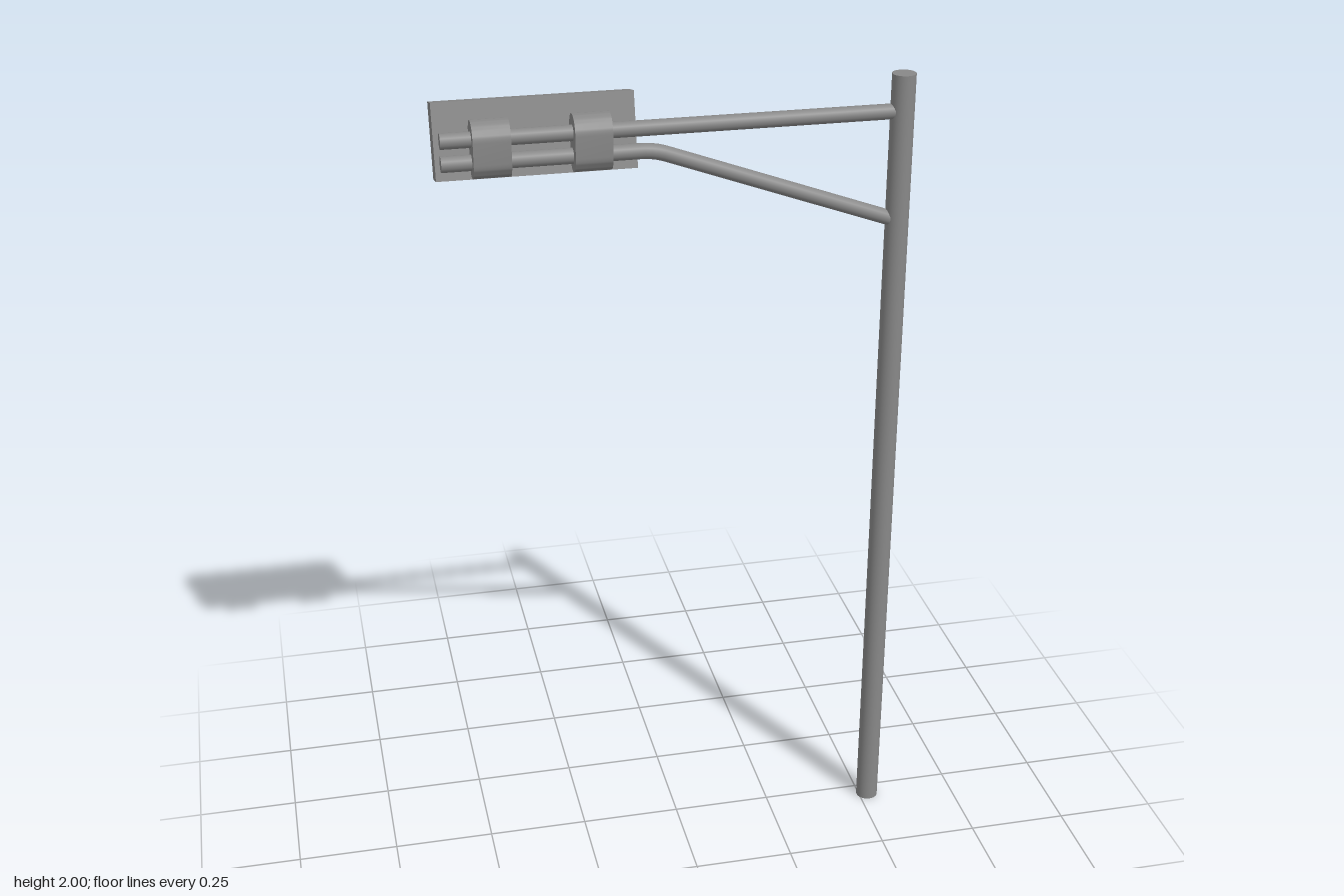
import * as THREE from 'three';
import { toCreasedNormals } from 'three/addons/utils/BufferGeometryUtils.js';

const grey = new THREE.MeshStandardMaterial({ color: 0x888888 });
const POLE_X = 0.522, POLE_Z = 0.037;
const UPPER_Y = 1.912, LOWER_Y = 1.859, ARM_R = 0.018, ARM_END = -0.54;

function add(parent, name, geometry, x, y, z, material = grey) {
  const mesh = new THREE.Mesh(geometry, material);
  mesh.name = name;
  mesh.position.set(x, y, z);
  parent.add(mesh);
  return mesh;
}

// Straight run, soft bend, then a sloping run down to the pole
function lowerArmGeometry() {
  const v = (x, y) => new THREE.Vector3(x, y, 0);
  const a = v(-0.09, LOWER_Y), bend = v(-0.06, LOWER_Y), b = v(-0.032, LOWER_Y - 0.01);
  const path = new THREE.CurvePath();
  path.add(new THREE.LineCurve3(v(ARM_END, LOWER_Y), a));
  path.add(new THREE.QuadraticBezierCurve3(a, bend, b));
  path.add(new THREE.LineCurve3(b, v(POLE_X, 1.648)));
  return new THREE.TubeGeometry(path, 72, ARM_R, 20);
}

// Clamp with a stadium-shaped section that wraps both arms
function clampGeometry(width) {
  const r = 0.041, h = 0.025;
  const shape = new THREE.Shape();
  shape.absarc(0, h, r, 0, Math.PI, false);
  shape.absarc(0, -h, r, Math.PI, Math.PI * 2, false);
  shape.closePath();
  const g = new THREE.ExtrudeGeometry(shape, { depth: width, bevelEnabled: false, curveSegments: 12 });
  g.translate(0, 0, -width / 2);
  g.rotateY(Math.PI / 2);
  return toCreasedNormals(g, 0.7);
}

export function createModel() {
  const model = new THREE.Group();
  model.name = 'trafficLight';

  // Pole
  add(model, 'pole', new THREE.CylinderGeometry(0.028, 0.028, 2, 32), POLE_X, 1, POLE_Z);

  // Arms
  const length = POLE_X - ARM_END;
  const upper = new THREE.CylinderGeometry(ARM_R, ARM_R, length, 20);
  upper.rotateZ(Math.PI / 2);
  add(model, 'upperArm', upper, ARM_END + length / 2, UPPER_Y, POLE_Z);
  add(model, 'lowerArm', lowerArmGeometry(), 0, 0, POLE_Z);
  const cap = add(model, 'lowerArmCap', new THREE.CircleGeometry(ARM_R, 20), ARM_END, LOWER_Y, POLE_Z);
  cap.rotation.y = -Math.PI / 2;

  // Clamps
  const clamp = clampGeometry(0.085);
  for (const x of [-0.429, -0.202]) add(model, 'clamp', clamp, x, 1.889, POLE_Z);

  // Signal head, tilted down towards the road behind
  const head = new THREE.Group();
  head.name = 'signalHead';
  head.position.set(-0.322, 1.892, -0.028);
  head.rotation.x = -0.237;
  model.add(head);
  add(head, 'housing', new THREE.BoxGeometry(0.457, 0.173, 0.062), 0, 0, 0);

  // Lamps
  const lamps = [['redLamp', 0x740808, -0.14], ['yellowLamp', 0x706608, 0], ['greenLamp', 0x067818, 0.142]];
  const lens = new THREE.CylinderGeometry(0.061, 0.061, 0.008, 32);
  lens.rotateX(Math.PI / 2);
  for (const [name, color, x] of lamps) {
    add(head, name, lens, x, 0, -0.031, new THREE.MeshStandardMaterial({ color }));
  }
  return model;
}
